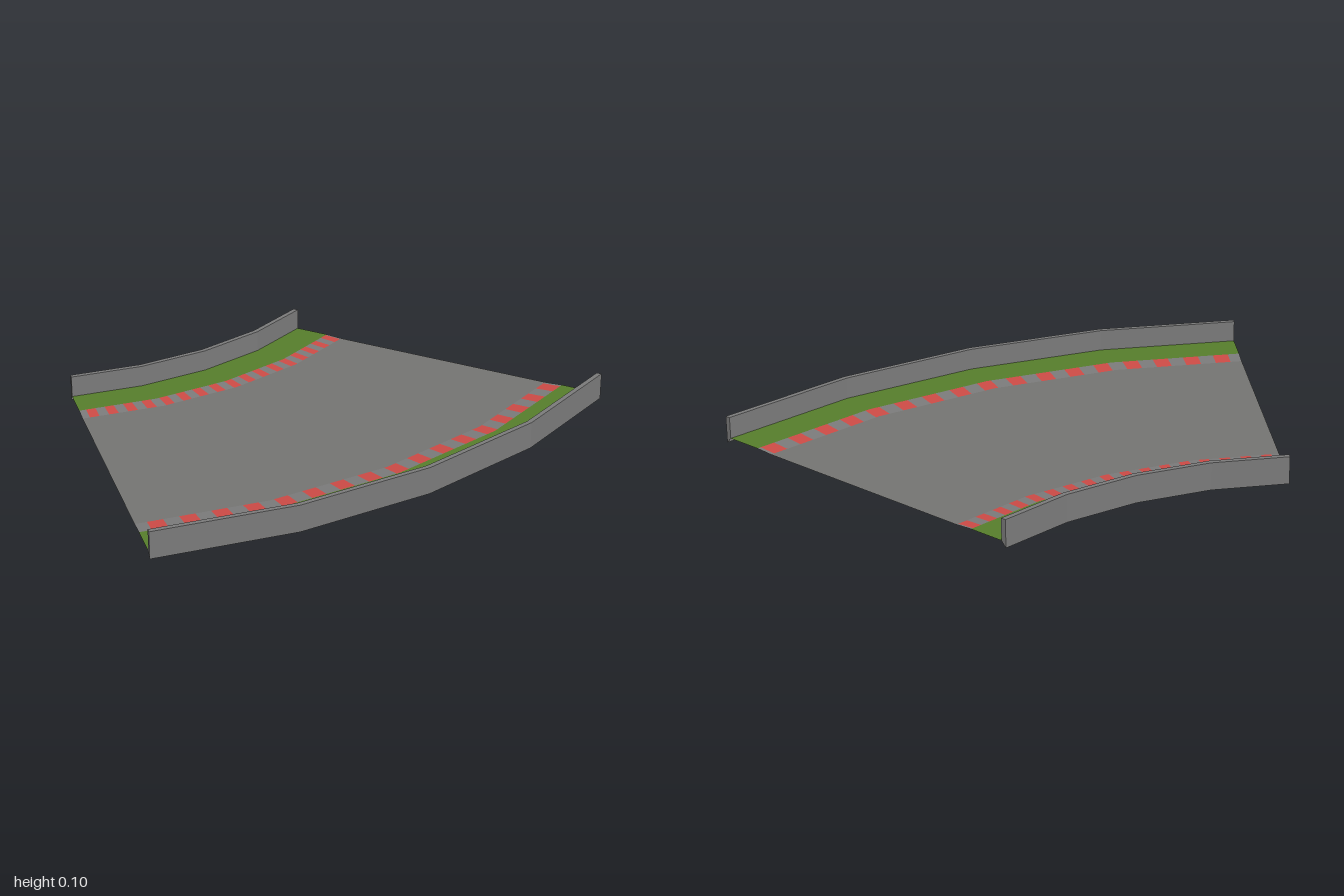
import * as THREE from 'three';

// The bend sweeps 45 degrees about a centre beyond its inner side, in four straight segments.
const CX = -1.93, CZ = -1, SWEEP = Math.PI / 4, SEGMENTS = 4;
const FLOOR = 0.018, VERGE = 0.022, WALL_TOP = 0.105;
const STRIPES = 17;

// Point at fraction t of the sweep and radius r, lying on the straight chords.
function pointAt(t, r, y) {
  const i = Math.min(Math.floor(t * SEGMENTS), SEGMENTS - 1);
  const f = t * SEGMENTS - i;
  const a0 = (i / SEGMENTS) * SWEEP, a1 = ((i + 1) / SEGMENTS) * SWEEP;
  const c = Math.cos(a0) * (1 - f) + Math.cos(a1) * f;
  const s = Math.sin(a0) * (1 - f) + Math.sin(a1) * f;
  return [CX + r * c, y, CZ + r * s];
}

function pushQuad(out, a, b, c, d) {
  out.push(...a, ...b, ...c, ...b, ...d, ...c);
}

// Sweep a profile of [radius, y] points from t0 to t1, split at the chord corners.
function pushSweep(out, profile, t0, t1) {
  const stops = [t0];
  for (let i = 1; i < SEGMENTS; i++) {
    const t = i / SEGMENTS;
    if (t > t0 + 1e-6 && t < t1 - 1e-6) stops.push(t);
  }
  stops.push(t1);
  for (let i = 0; i < stops.length - 1; i++) {
    for (let j = 0; j < profile.length - 1; j++) {
      const [r0, y0] = profile[j], [r1, y1] = profile[j + 1];
      pushQuad(out,
        pointAt(stops[i], r0, y0), pointAt(stops[i + 1], r0, y0),
        pointAt(stops[i], r1, y1), pointAt(stops[i + 1], r1, y1));
    }
  }
}

function makeMesh(name, positions, material) {
  const geometry = new THREE.BufferGeometry();
  geometry.setAttribute('position', new THREE.Float32BufferAttribute(positions, 3));
  geometry.computeVertexNormals();
  const mesh = new THREE.Mesh(geometry, material);
  mesh.name = name;
  return mesh;
}

function makeMaterial(name, color) {
  const material = new THREE.MeshStandardMaterial({ color, side: THREE.DoubleSide });
  material.name = name;
  return material;
}

export function createModel() {
  const group = new THREE.Group();
  group.name = 'curvedTrack';
  const asphalt = makeMaterial('asphalt', 0x737371);
  const concrete = makeMaterial('concrete', 0x7a7a7a);
  const grass = makeMaterial('grass', 0x567d2b);
  const red = makeMaterial('kerbRed', 0xcb4a45);

  // Road surface
  const road = [];
  pushSweep(road, [[1.68, FLOOR], [2.595, FLOOR]], 0, 1);
  group.add(makeMesh('road', road, asphalt));

  // Grass verges, kerbs and walls on each side
  const sides = [
    {
      name: 'inner',
      verge: [[1.475, VERGE], [1.613, VERGE]],
      kerb: [[1.613, VERGE], [1.68, FLOOR]],
      wall: [[1.455, 0], [1.455, WALL_TOP], [1.475, WALL_TOP], [1.475, VERGE]],
    },
    {
      name: 'outer',
      verge: [[2.667, VERGE], [2.81, VERGE]],
      kerb: [[2.595, FLOOR], [2.667, VERGE]],
      wall: [[2.81, VERGE], [2.81, WALL_TOP], [2.83, WALL_TOP], [2.83, 0]],
    },
  ];

  for (const side of sides) {
    const verge = [];
    pushSweep(verge, side.verge, 0, 1);
    group.add(makeMesh(side.name + 'Verge', verge, grass));

    // Kerb: red blocks with grey gaps between them
    const blocks = [], gaps = [];
    let last = 0;
    for (let i = 0; i < STRIPES; i++) {
      const start = (i + 0.12) / STRIPES, end = (i + 0.62) / STRIPES;
      pushSweep(gaps, side.kerb, last, start);
      pushSweep(blocks, side.kerb, start, end);
      last = end;
    }
    pushSweep(gaps, side.kerb, last, 1);
    group.add(makeMesh(side.name + 'KerbBlocks', blocks, red));
    group.add(makeMesh(side.name + 'KerbGaps', gaps, concrete));

    // Wall with closed ends
    const wall = [];
    pushSweep(wall, side.wall, 0, 1);
    for (const t of [0, 1]) {
      const [a, b, c, d] = side.wall.map(([r, y]) => pointAt(t, r, y));
      if (t === 0) pushQuad(wall, a, b, d, c);
      else pushQuad(wall, a, d, b, c);
    }
    group.add(makeMesh(side.name + 'Wall', wall, concrete));
  }
  return group;
}
